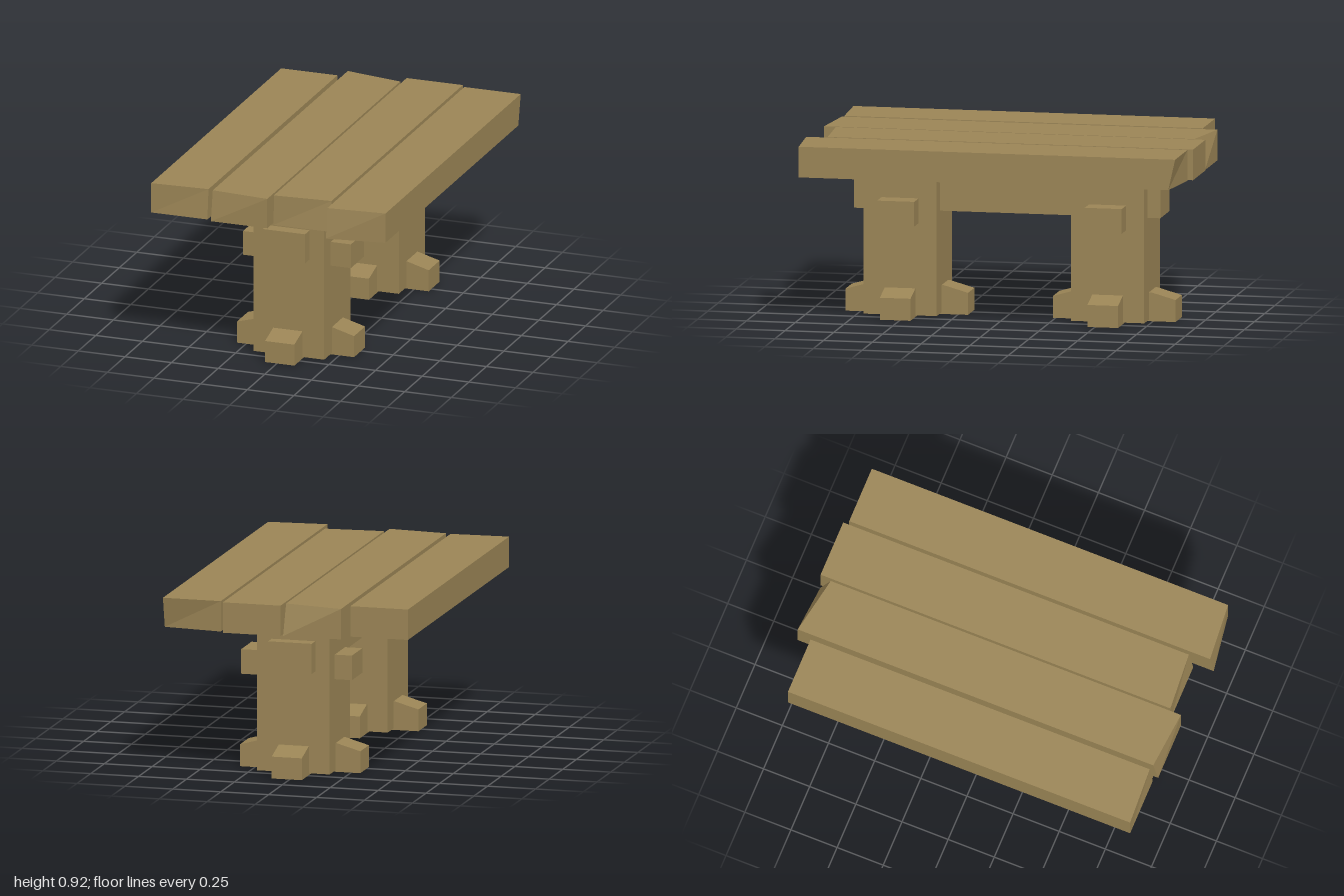
import * as THREE from 'three';

const wood = new THREE.MeshStandardMaterial({ color: 0x9a8455, flatShading: true });

// Box given by its min/max extents on each axis
function block(name, [x0, x1], [y0, y1], [z0, z1]) {
  const geometry = new THREE.BoxGeometry(x1 - x0, y1 - y0, z1 - z0);
  geometry.translate((x0 + x1) / 2, (y0 + y1) / 2, (z0 + z1) / 2);
  const mesh = new THREE.Mesh(geometry, wood);
  mesh.name = name;
  return mesh;
}

// Plank with roughly sawn ends; each end lists z at
// [top left edge, top right edge, bottom left edge, bottom right edge] in x order
function plank(name, x0, x1, front, back) {
  const mesh = block(name, [x0, x1], [0.762, 0.918], [-1, 1]);
  const p = mesh.geometry.attributes.position;
  const midX = (x0 + x1) / 2;
  for (let i = 0; i < p.count; i++) {
    const corner = (p.getX(i) > midX ? 1 : 0) + (p.getY(i) < 0.84 ? 2 : 0);
    p.setZ(i, (p.getZ(i) > 0 ? front : back)[corner]);
  }
  mesh.geometry.computeVertexNormals();
  return mesh;
}

// Foot beam along x with sloped top ends, centred on its length
function footBeam(name, half, inner, width) {
  const shape = new THREE.Shape([
    [-half, 0], [half, 0], [half, 0.112], [inner, 0.147], [-inner, 0.147], [-half, 0.112],
  ].map(([x, y]) => new THREE.Vector2(x, y)));
  const geometry = new THREE.ExtrudeGeometry(shape, { depth: width, bevelEnabled: false });
  geometry.translate(0, 0, -width / 2);
  const mesh = new THREE.Mesh(geometry, wood);
  mesh.name = name;
  return mesh;
}

// Post with crossed feet and a side peg
function trestle(name, z) {
  const group = new THREE.Group();
  group.name = name;
  group.add(block('post', [-0.19, 0.19], [0.008, 0.785], [-0.188, 0.188]));
  group.add(block('peg', [-0.28, 0.298], [0.478, 0.604], [-0.095, 0.095]));
  const sideFoot = footBeam('sideFoot', 0.314, 0.19, 0.157);
  const longFoot = footBeam('longFoot', 0.314, 0.19, 0.157);
  longFoot.rotation.y = Math.PI / 2;
  longFoot.position.x = -0.005;
  longFoot.position.z = -0.01;
  sideFoot.position.x = -0.005;
  group.add(sideFoot, longFoot);
  group.position.set(0.02, 0, z);
  return group;
}

export function createModel() {
  const model = new THREE.Group();
  model.name = 'plankTable';

  // Table top
  const top = new THREE.Group();
  top.name = 'tableTop';
  top.add(
    plank('outerRightPlank', -0.632, -0.331, [0.938, 0.922, 0.938, 0.938], [-0.916, -0.916, -0.916, -0.916]),
    plank('innerRightPlank', -0.305, -0.003, [0.93, 0.957, 0.957, 0.957], [-0.996, -0.94, -0.996, -0.996]),
    plank('innerLeftPlank', 0.009, 0.31, [0.895, 0.873, 0.897, 0.897], [-1, -1, -1, -1]),
    plank('outerLeftPlank', 0.328, 0.63, [0.98, 0.955, 1, 0.955], [-0.975, -0.975, -0.975, -0.94]),
  );
  model.add(top);

  // Supports and the long beam through both posts
  model.add(trestle('frontTrestle', 0.523), trestle('backTrestle', -0.541));
  model.add(block('stretcher', [-0.095, 0.132], [0.532, 0.687], [-0.795, 0.776]));
  return model;
}
